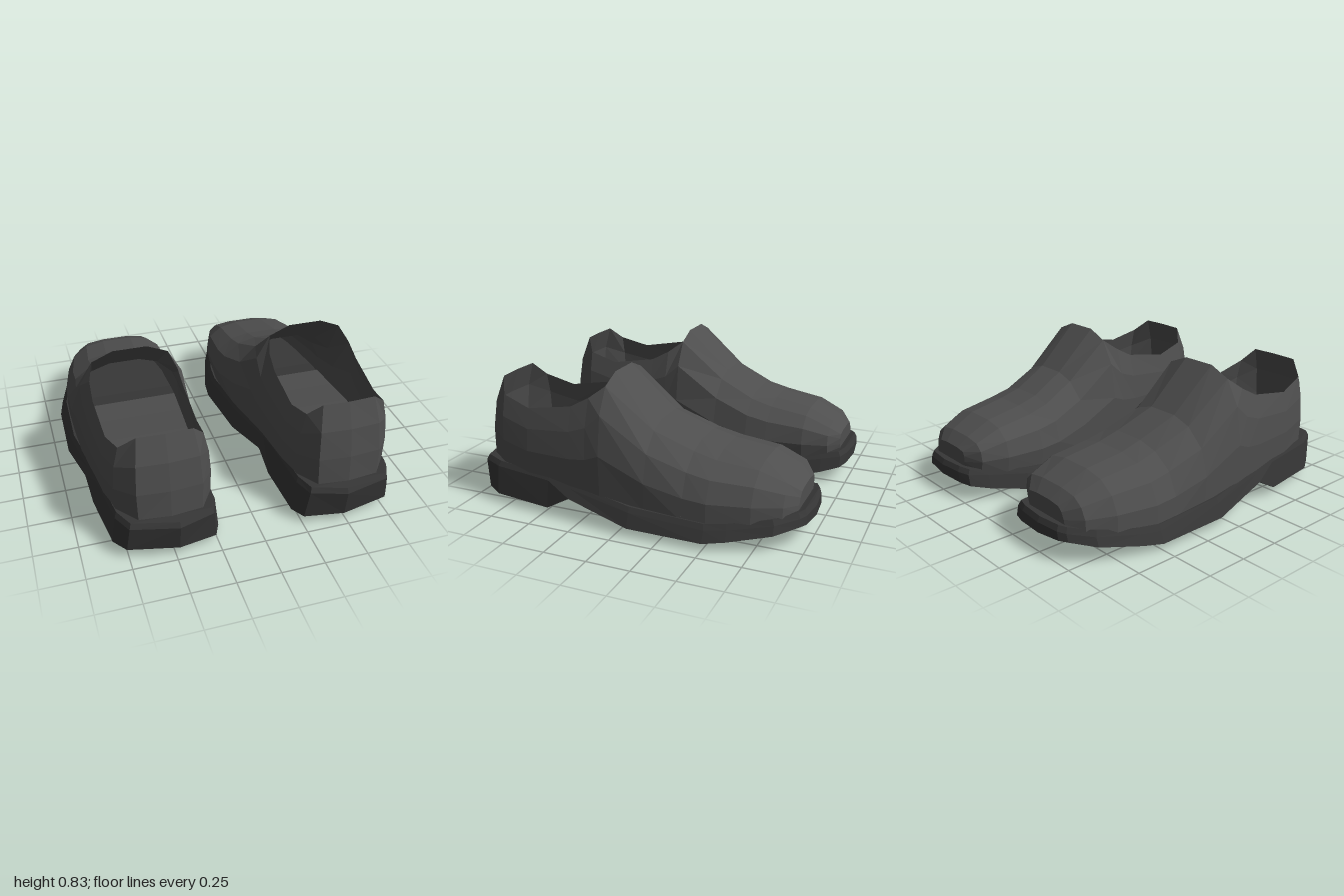
import * as THREE from 'three';

const soleMaterial = new THREE.MeshStandardMaterial({ color: 0x363636, flatShading: true });
const upperMaterial = new THREE.MeshStandardMaterial({
  color: 0x4e4e4e, flatShading: true, side: THREE.DoubleSide,
});

// Sole stations, toe to heel: z, inner x, outer x, bottom y, top y
const SOLE = [
  [-1.0, 0.49, 0.49, 0.11, 0.2],
  [-0.985, 0.32, 0.65, 0.105, 0.2],
  [-0.96, 0.24, 0.7, 0.1, 0.195],
  [-0.85, 0.19, 0.81, 0.07, 0.18],
  [-0.62, 0.12, 0.89, 0.02, 0.145],
  [-0.5, 0.11, 0.92, 0, 0.135],
  [-0.07, 0.15, 0.93, 0.01, 0.16],
  [0.31, 0.2, 0.88, 0.1, 0.215],
  [0.46, 0.21, 0.865, 0.015, 0.235],
  [0.82, 0.22, 0.82, 0.025, 0.25],
  [0.94, 0.26, 0.76, 0.04, 0.255],
  [0.998, 0.48, 0.48, 0.06, 0.25],
];

// Upper stations, toe to heel: z, inner x, outer x, base y, top y, top width ratio
const UPPER = [
  [-0.94, 0.34, 0.65, 0.18, 0.29, 0.82],
  [-0.88, 0.235, 0.75, 0.17, 0.35, 0.72],
  [-0.73, 0.18, 0.825, 0.14, 0.42, 0.64],
  [-0.5, 0.16, 0.875, 0.12, 0.455, 0.6],
  [-0.37, 0.16, 0.88, 0.12, 0.49, 0.58],
  [-0.15, 0.175, 0.88, 0.14, 0.59, 0.58],
  [0.12, 0.2, 0.875, 0.18, 0.83, 0.66],
  [0.21, 0.21, 0.865, 0.19, 0.71, 0.78],
  [0.32, 0.22, 0.855, 0.2, 0.65, 0.82],
  [0.6, 0.235, 0.825, 0.22, 0.6, 0.86],
  [0.78, 0.25, 0.79, 0.24, 0.65, 0.85],
  [0.91, 0.33, 0.69, 0.24, 0.73, 0.84],
];
const OPENING = 6; // station where the foot opening starts

// Flat-shaded skin across rows of points; side -1 mirrors it in x
function skin(side) {
  const data = [];
  const tri = (a, b, c) => {
    for (const p of side > 0 ? [a, b, c] : [a, c, b]) data.push(p[0] * side, p[1], p[2]);
  };
  return {
    loft(rows, closed = false, skip = () => false) {
      const n = rows[0].length;
      for (let i = 0; i < rows.length - 1; i++) {
        for (let j = 0; j < (closed ? n : n - 1); j++) {
          if (skip(i, j)) continue;
          const k = (j + 1) % n;
          tri(rows[i][j], rows[i + 1][j], rows[i][k]);
          tri(rows[i][k], rows[i + 1][j], rows[i + 1][k]);
        }
      }
    },
    cap(row) {
      for (let j = 1; j < row.length - 1; j++) tri(row[0], row[j], row[j + 1]);
    },
    mesh(name, material) {
      const g = new THREE.BufferGeometry();
      g.setAttribute('position', new THREE.Float32BufferAttribute(data, 3));
      g.computeVertexNormals();
      const m = new THREE.Mesh(g, material);
      m.name = name;
      return m;
    },
  };
}

// Flared sole with a heel block, an arch and a bevelled welt
function makeSole(side) {
  const rows = SOLE.map(([z, x0, x1, yb, yt]) => {
    const c = (x0 + x1) / 2, h = (x1 - x0) / 2;
    const zBottom = z > 0.9 ? z - 0.025 : z; // heel bottom tucks in
    const tilt = 0.04 * (h / 0.4);
    return [
      [c - h, yb, zBottom], [c - h * 0.93, yt - 0.03, z], [c - h * 0.89, yt, z * 0.985],
      [c + h * 0.89, yt, z * 0.985], [c + h * 0.93, yt - 0.03, z], [c + h, yb + tilt, zBottom],
    ];
  });
  const s = skin(side);
  s.loft(rows, true);
  return s.mesh('sole', soleMaterial);
}

// Cross-sections of the upper: four wall points and one crown point per half
function upperRows() {
  return UPPER.map(([z, x0, x1, yb, yt, t], i) => {
    const c = (x0 + x1) / 2, h = (x1 - x0) / 2;
    const skew = z < -0.2 ? -0.03 : 0;
    const lean = i === UPPER.length - 1 ? 0.075 : 0;
    const edge = i > OPENING ? 1 : 0.92;
    const half = [[0.98, 0], [1, 0.36], [1 - (1 - t) * 0.3, 0.7], [t, edge], [t * 0.45, 1]];
    const point = (u, v) => [c + h * u + skew * v, yb + (yt - yb) * v, z - lean * v ** 3];
    return [
      ...half.map(([u, v]) => point(-u, v)),
      ...half.map(([u, v]) => point(u, v)).reverse(),
    ];
  });
}

// Arched vamp that opens into side walls and a rounded heel counter
function makeUpper(side, rows) {
  const s = skin(side);
  s.loft(rows, false, (i, j) => i >= OPENING && j >= 3 && j <= 5);
  s.cap(rows[0]);

  // Back of the heel
  const end = rows[rows.length - 1];
  const inner = end.slice(0, 4);
  const outer = end.slice(6).reverse();
  const middle = inner.map((p, k) => [(p[0] + outer[k][0]) / 2, p[1], p[2] + 0.02 - 0.004 * k]);
  s.loft([inner, middle, outer]);
  return s.mesh('upper', upperMaterial);
}

// Footbed just above the sole
function makeInsole(side, rows) {
  const s = skin(side);
  s.loft(rows.slice(OPENING - 2).map((r) => [r[0], r[9]].map(([x, y, z]) => [x, y + 0.03, z])));
  return s.mesh('insole', upperMaterial);
}

export function createModel() {
  const model = new THREE.Group();
  model.name = 'pairOfShoes';
  const rows = upperRows();
  for (const side of [1, -1]) {
    const shoe = new THREE.Group();
    shoe.name = side > 0 ? 'leftShoe' : 'rightShoe';
    shoe.add(makeSole(side), makeUpper(side, rows), makeInsole(side, rows));
    model.add(shoe);
  }
  return model;
}
